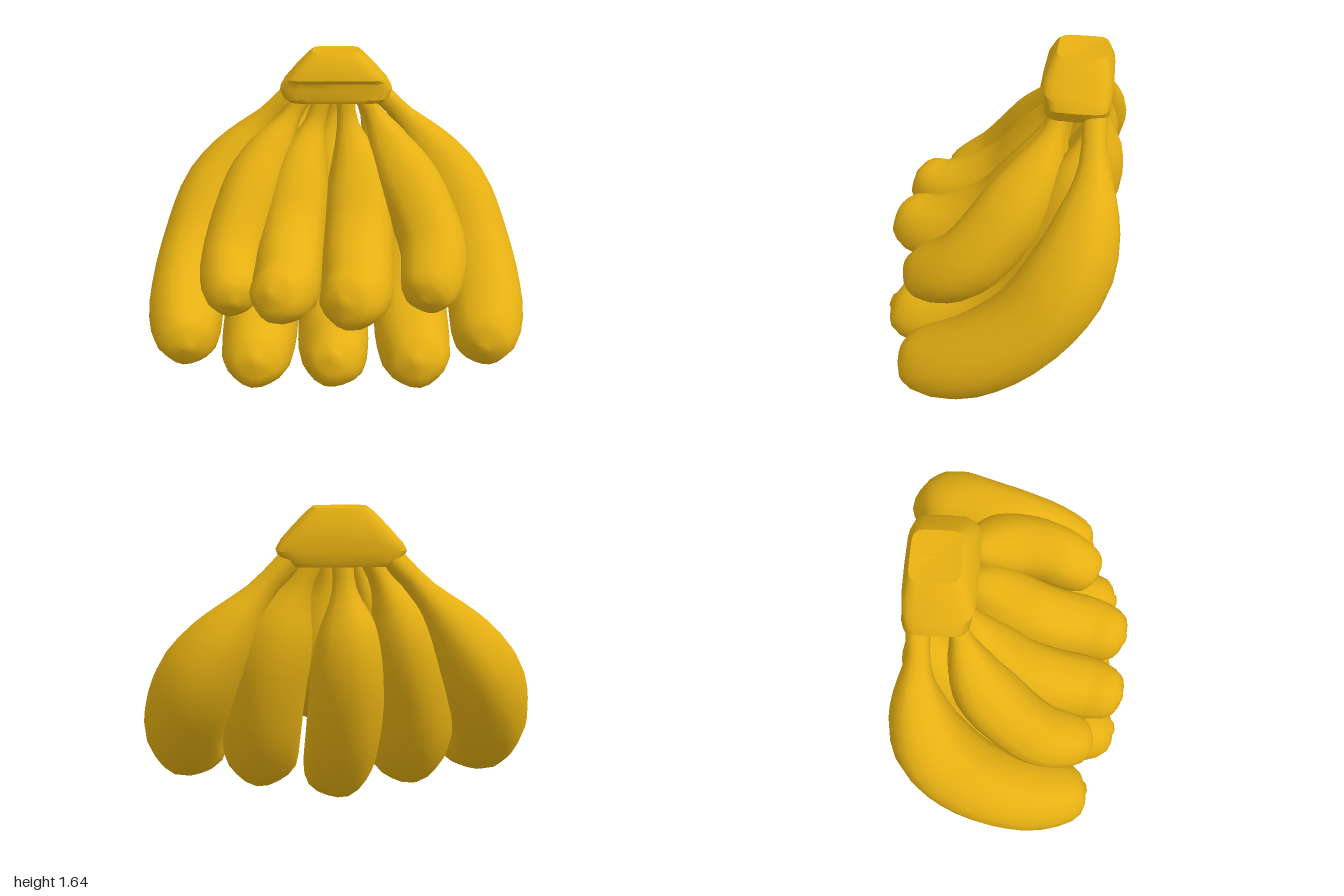
import * as THREE from 'three';
import { toCreasedNormals } from 'three/addons/utils/BufferGeometryUtils.js';

const V = (x, y, z) => new THREE.Vector3(x, y, z);

// Skin a list of closed rings that all have the same number of points
function loft(rings) {
  const n = rings[0].length, index = [];
  for (let i = 0; i < rings.length - 1; i++) {
    for (let j = 0; j < n; j++) {
      const a = i * n + j, b = i * n + (j + 1) % n;
      index.push(a, b, a + n, b, b + n, a + n);
    }
  }
  const geo = new THREE.BufferGeometry().setFromPoints(rings.flat());
  geo.setIndex(index);
  geo.computeVertexNormals();
  return geo;
}

// Fruit thickness along its length: [position, share of full radius]
const BODY = [
  [0.45, 0.99], [0.5, 1], [0.55, 1], [0.6, 1], [0.65, 1], [0.7, 1], [0.75, 0.99], [0.8, 0.98], [0.85, 0.95],
  [0.9, 0.89], [0.94, 0.8], [0.97, 0.66], [0.985, 0.47], [0.993, 0.22], [1, 0.15], [1, 0.001],
];
// Some fruits swell quickly below the stem, others more slowly
const QUICK = [
  [0, 0.27], [0.06, 0.26], [0.09, 0.3], [0.12, 0.4], [0.15, 0.54], [0.18, 0.68], [0.21, 0.78],
  [0.25, 0.87], [0.3, 0.93], [0.37, 0.97], ...BODY,
];
const SLOW = [
  [0, 0.28], [0.08, 0.27], [0.13, 0.32], [0.17, 0.42], [0.21, 0.54], [0.25, 0.66], [0.29, 0.76],
  [0.34, 0.86], [0.39, 0.94], ...BODY,
];

// A curved fruit with a thin stem, faintly five-sided body and small blunt tip
function bananaGeometry(profile, radius, path) {
  const curve = new THREE.CatmullRomCurve3(path.map(p => V(...p)));
  const steps = 100, sides = 20;
  const frames = curve.computeFrenetFrames(steps);
  return loft(profile.map(([t, share]) => {
    const k = Math.round(t * steps), centre = curve.getPointAt(t);
    return Array.from({ length: sides }, (_, j) => {
      const a = j / sides * Math.PI * 2;
      const r = radius * share * (1 + 0.025 * Math.cos(5 * a));
      return centre.clone()
        .addScaledVector(frames.normals[k], r * Math.cos(a))
        .addScaledVector(frames.binormals[k], r * Math.sin(a));
    });
  }));
}

// Crown: boxy rounded sections, [height, half width, back z, front z]
function crownGeometry() {
  const sections = [
    [1.43, 0.001, -0.34, -0.339], [1.42, 0.18, -0.46, -0.22], [1.39, 0.25, -0.49, -0.2],
    [1.41, 0.28, -0.5, -0.19], [1.46, 0.3, -0.505, -0.195], [1.495, 0.28, -0.505, -0.19],
    [1.515, 0.26, -0.505, -0.17], [1.56, 0.22, -0.5, -0.18], [1.63, 0.15, -0.475, -0.215],
    [1.65, 0.125, -0.465, -0.235], [1.637, 0.001, -0.36, -0.359],
  ];
  const sides = 24, soften = v => Math.sign(v) * Math.abs(v) ** 0.38;
  const geo = loft(sections.map(([y, hx, back, front]) =>
    Array.from({ length: sides }, (_, j) => {
      const a = j / sides * Math.PI * 2;
      return V(hx * soften(Math.sin(a)), y,
        (back + front) / 2 + (front - back) / 2 * soften(Math.cos(a)));
    })));
  return toCreasedNormals(geo, 0.6);
}

export function createModel() {
  const group = new THREE.Group();
  const material = new THREE.MeshStandardMaterial({ color: 0xe6b012 });
  const add = (name, geometry) => {
    const mesh = new THREE.Mesh(geometry, material);
    mesh.name = name;
    group.add(mesh);
  };

  add('crown', crownGeometry());

  // Back row: one in the middle, two mirrored pairs beside it
  add('backMiddleBanana', bananaGeometry(QUICK, 0.192, [
    [0, 1.45, -0.43], [-0.01, 1.28, -0.44], [-0.03, 1.05, -0.435], [-0.03, 0.77, -0.365],
    [-0.02, 0.5, -0.22], [-0.01, 0.29, -0.03], [-0.01, 0.195, 0.16], [-0.01, 0.215, 0.35], [-0.01, 0.3, 0.53],
  ]));
  for (const [side, s] of [['Left', 1], ['Right', -1]]) {
    add('back' + side + 'Banana', bananaGeometry(QUICK, 0.2, [
      [0.12, 1.45, -0.43], [0.19, 1.3, -0.43], [0.29, 1.07, -0.385], [0.36, 0.78, -0.3],
      [0.39, 0.51, -0.16], [0.4, 0.33, 0.04], [0.4, 0.26, 0.24], [0.4, 0.255, 0.41], [0.39, 0.3, 0.57],
    ].map(([x, y, z]) => [s * x, y, z])));
    add('outer' + side + 'Banana', bananaGeometry(SLOW, 0.203, [
      [0.22, 1.43, -0.43], [0.32, 1.33, -0.435], [0.49, 1.13, -0.445], [0.66, 0.88, -0.385],
      [0.765, 0.6, -0.2], [0.8, 0.4, 0.05], [0.78, 0.31, 0.24], [0.74, 0.28, 0.42],
    ].map(([x, y, z]) => [s * x, y, z])));
  }

  // Front row: four shorter ones, each bent a little differently
  add('frontOuterLeftBanana', bananaGeometry(SLOW, 0.172, [
    [0.13, 1.45, -0.27], [0.2, 1.32, -0.25], [0.32, 1.1, -0.16], [0.44, 0.88, -0.01],
    [0.5, 0.71, 0.14], [0.48, 0.61, 0.29], [0.43, 0.55, 0.43],
  ]));
  add('frontInnerLeftBanana', bananaGeometry(SLOW, 0.186, [
    [0.05, 1.45, -0.26], [0.06, 1.29, -0.25], [0.11, 1.05, -0.17], [0.12, 0.81, -0.03],
    [0.11, 0.66, 0.17], [0.1, 0.59, 0.39], [0.03, 0.63, 0.59],
  ]));
  add('frontInnerRightBanana', bananaGeometry(SLOW, 0.178, [
    [-0.06, 1.45, -0.26], [-0.11, 1.29, -0.25], [-0.18, 1.06, -0.17], [-0.22, 0.82, -0.03],
    [-0.24, 0.67, 0.17], [-0.25, 0.605, 0.39], [-0.31, 0.66, 0.57],
  ]));
  add('frontOuterRightBanana', bananaGeometry(SLOW, 0.165, [
    [-0.15, 1.45, -0.27], [-0.24, 1.31, -0.25], [-0.38, 1.08, -0.17], [-0.48, 0.85, -0.02],
    [-0.53, 0.67, 0.13], [-0.53, 0.575, 0.28], [-0.5, 0.53, 0.42],
  ]));

  return group;
}
